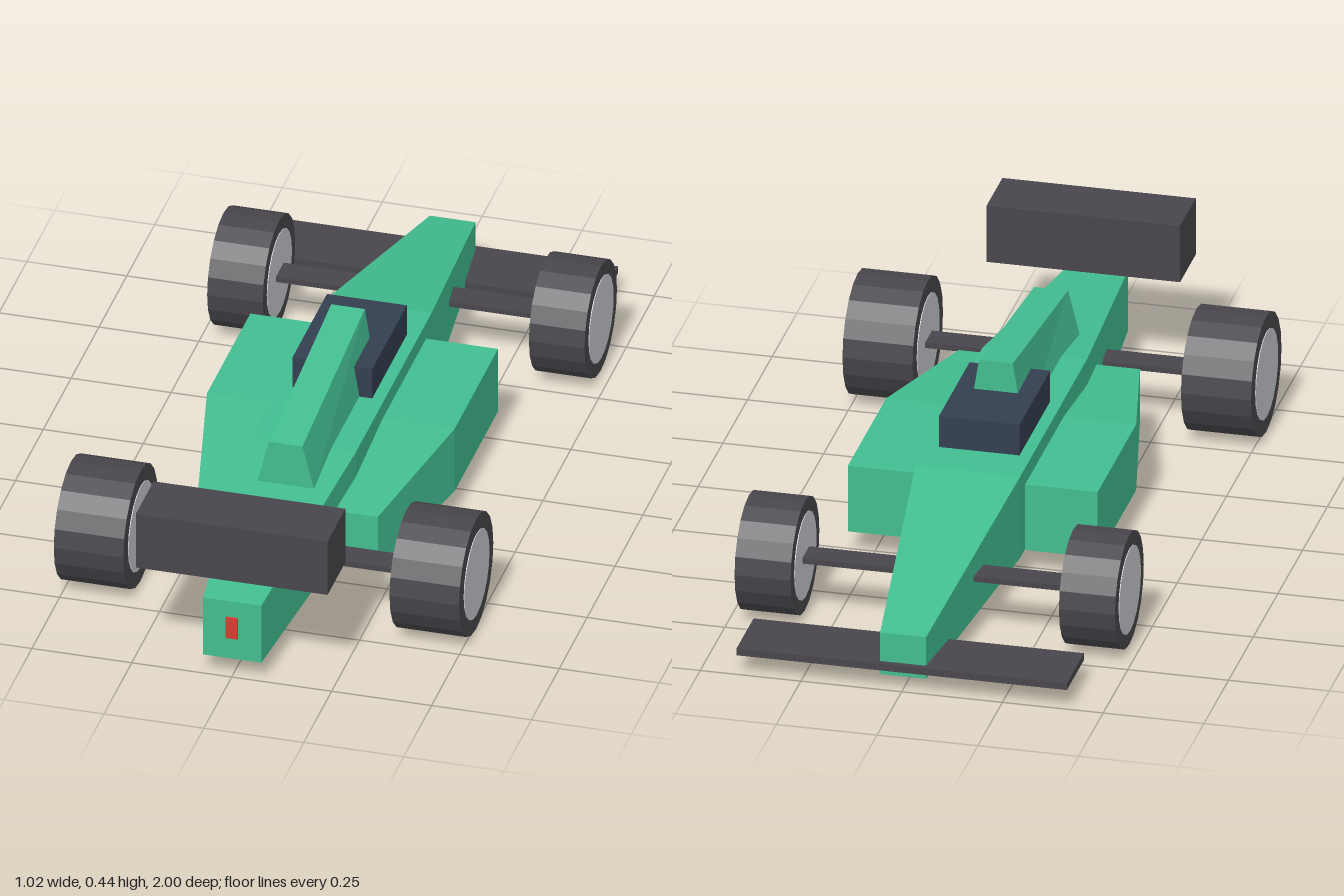
import * as THREE from 'three';

const mat = (name, color) => {
  const m = new THREE.MeshStandardMaterial({ color });
  m.name = name;
  return m;
};

// Faceted copy of a geometry
function faceted(geometry) {
  const g = geometry.index ? geometry.toNonIndexed() : geometry;
  g.computeVertexNormals();
  return g;
}

// Solid lofted through trapezoid sections [z, bottom half width, top half width, bottom y, top y], from +z to -z
function loft(sections) {
  const points = [];
  const index = [];
  for (const [z, b, t, y0, y1] of sections) {
    points.push(-b, y0, z, b, y0, z, t, y1, z, -t, y1, z);
  }
  const last = (sections.length - 1) * 4;
  for (let i = 0; i < last; i += 4) {
    for (let j = 0; j < 4; j++) {
      const k = (j + 1) % 4;
      index.push(i + j, i + 4 + k, i + k, i + j, i + 4 + j, i + 4 + k);
    }
  }
  index.push(0, 1, 2, 0, 2, 3);
  index.push(last, last + 2, last + 1, last, last + 3, last + 2);
  const g = new THREE.BufferGeometry();
  g.setAttribute('position', new THREE.Float32BufferAttribute(points, 3));
  g.setIndex(index);
  return faceted(g);
}

// Box given by its lower and upper limits
function block(x0, x1, y0, y1, z0, z1) {
  const g = new THREE.BoxGeometry(x1 - x0, y1 - y0, z1 - z0);
  return g.translate((x0 + x1) / 2, (y0 + y1) / 2, (z0 + z1) / 2);
}

export function createModel() {
  const green = mat('body green', 0x42bd90);
  const dark = mat('rubber grey', 0x48464c);
  const silver = mat('hub silver', 0xc8cbcf);
  const navy = mat('cockpit navy', 0x333f50);
  const red = mat('light red', 0xd0402f);

  const car = new THREE.Group();
  car.name = 'racingCar';
  const add = (name, geometry, material, parent = car) => {
    const mesh = new THREE.Mesh(geometry, material);
    mesh.name = name;
    parent.add(mesh);
    return mesh;
  };

  // Fuselage, nose pointing to -z
  add('fuselage', loft([
    [0.995, 0.073, 0.073, 0.05, 0.21],
    [0.35, 0.13, 0.13, 0.063, 0.28],
    [-0.33, 0.13, 0.13, 0.063, 0.28],
    [-0.985, 0.057, 0.057, 0.035, 0.146],
  ]), green);

  // Side pods, one solid running through the fuselage
  add('sidePods', loft([
    [0.495, 0.225, 0.225, 0.053, 0.196],
    [0.11, 0.31, 0.31, 0.061, 0.236],
    [-0.28, 0.31, 0.31, 0.061, 0.236],
  ]), green);

  // Engine cover with tapered sides
  add('engineCover', loft([
    [0.515, 0.071, 0.042, 0.26, 0.376],
    [-0.045, 0.071, 0.042, 0.26, 0.44],
  ]), green);

  add('cockpit', block(-0.1, 0.1, 0.27, 0.362, -0.215, 0.097), navy);

  // Wings and tail light
  add('rearWing', block(-0.24, 0.24, 0.27, 0.42, 0.84, 1), dark);
  add('frontWing', block(-0.41, 0.41, 0.052, 0.07, -1, -0.826), dark);
  add('tailLight', block(-0.015, 0.015, 0.108, 0.166, 0.993, 1), red);

  // Axles and wheels
  const axles = [
    { name: 'rear', z: 0.624, r: 0.154, inner: 0.333, outer: 0.507, hub: 0.113 },
    { name: 'front', z: -0.62, r: 0.146, inner: 0.333, outer: 0.472, hub: 0.11 },
  ];
  for (const { name, z, r, inner, outer, hub } of axles) {
    const y = name === 'rear' ? 0.155 : 0.151;
    add(name + 'Axle', block(-inner - 0.02, inner + 0.02, 0.146, 0.16, z - 0.035, z + 0.035), dark);
    const width = outer - inner;
    for (const side of [1, -1]) {
      const wheel = new THREE.Group();
      wheel.name = name + (side > 0 ? 'Left' : 'Right') + 'Wheel';
      wheel.position.set(side * (inner + outer) / 2, y, z);
      wheel.rotation.z = Math.PI / 2;
      add('tyre', faceted(new THREE.CylinderGeometry(r, r, width, 20)), dark, wheel);
      add('hub', faceted(new THREE.CylinderGeometry(hub, hub, width + 0.004, 20)), silver, wheel);
      car.add(wheel);
    }
  }
  return car;
}
